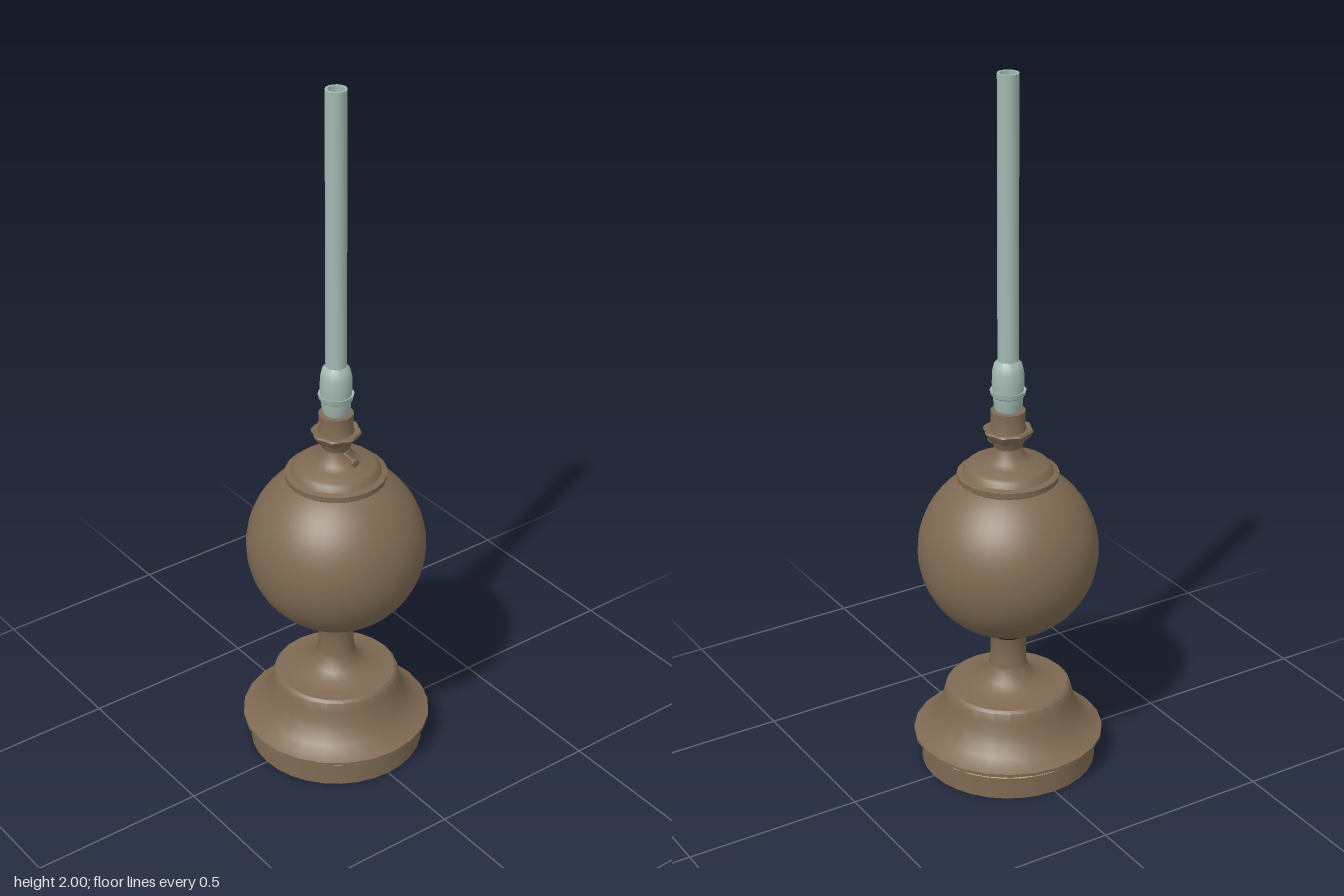
import * as THREE from 'three';
import { toCreasedNormals } from 'three/addons/utils/BufferGeometryUtils.js';

const brass = new THREE.MeshStandardMaterial({ color: 0x7f6a53 });
brass.name = 'aged brass';
const glass = new THREE.MeshStandardMaterial({ color: 0xa3b8b1 });
glass.name = 'pale glass';
const cream = new THREE.MeshStandardMaterial({ color: 0xd8c397 });
cream.name = 'cream trim';
const dark = new THREE.MeshStandardMaterial({ color: 0x2a1210 });
dark.name = 'dark wick';

export function createModel() {
  const model = new THREE.Group();
  model.name = 'oilLamp';

  const add = (name, geometry, material, x = 0, y = 0, z = 0) => {
    const mesh = new THREE.Mesh(geometry, material);
    mesh.name = name;
    mesh.position.set(x, y, z);
    model.add(mesh);
    return mesh;
  };
  // Turned part from [radius, height] pairs, listed so the surface faces outward
  const turn = (name, profile, material, sides = 32, crease = 0.6) => {
    const points = profile.map(([r, y]) => new THREE.Vector2(r, y));
    return add(name, toCreasedNormals(new THREE.LatheGeometry(points, sides), crease), material);
  };

  // Foot: plain drum, thin trim, flared flange and stepped shoulder
  turn('baseDrum', [[0, 0], [0.247, 0], [0.247, 0.067], [0, 0.067]], brass);
  turn('baseTrim', [[0.243, 0.066], [0.249, 0.066], [0.249, 0.075], [0.243, 0.078]], cream);
  turn('baseFlange', [
    [0, 0.075], [0.255, 0.075], [0.268, 0.081], [0.268, 0.09], [0.25, 0.098],
    [0.225, 0.117], [0.205, 0.142], [0.192, 0.17], [0.183, 0.2], [0.176, 0.227],
    [0.168, 0.234], [0.135, 0.238], [0.1, 0.247], [0.075, 0.262], [0.06, 0.28], [0.054, 0.3],
  ], brass, 24);
  turn('stem', [[0.054, 0.298], [0.05, 0.33], [0.05, 0.395], [0.058, 0.41], [0.085, 0.424]], brass, 20);
  turn('stemGap', [[0.05, 0.394], [0.056, 0.396], [0.06, 0.406], [0.06, 0.409]], dark, 20);

  // Round oil reservoir
  add('reservoir', new THREE.SphereGeometry(0.25, 40, 28), brass, 0, 0.655, 0);

  // Cap and neck above the reservoir
  turn('reservoirCap', [
    [0.125, 0.862], [0.139, 0.872], [0.14, 0.888], [0.125, 0.893], [0.117, 0.908],
    [0.11, 0.914], [0.075, 0.921], [0.055, 0.932], [0.043, 0.95], [0.038, 0.968], [0.045, 0.982],
  ], brass, 24);

  // Burner with a scalloped gallery rim
  turn('burner', [
    [0.038, 0.965], [0.045, 0.982], [0.052, 1.0], [0.05, 1.018], [0.047, 1.03], [0.048, 1.072], [0.03, 1.074],
  ], brass, 16);
  const gallery = turn('galleryRim', [
    [0.045, 0.985], [0.058, 0.998], [0.067, 1.014], [0.064, 1.019], [0.045, 1.016],
  ], brass, 32);
  const p = gallery.geometry.attributes.position;
  for (let i = 0; i < p.count; i++) {
    const s = 1 + 0.05 * Math.cos(8 * Math.atan2(p.getZ(i), p.getX(i)));
    p.setXYZ(i, p.getX(i) * s, p.getY(i), p.getZ(i) * s);
  }
  gallery.geometry = toCreasedNormals(gallery.geometry, 0.6);

  // Wick adjuster on the left side
  const shaft = add('wickShaft', new THREE.CylinderGeometry(0.005, 0.005, 0.05, 8), brass, 0.06, 0.957, 0);
  shaft.rotation.z = Math.PI / 2 - 0.12;
  const knob = add('wickKnob', new THREE.CylinderGeometry(0.012, 0.012, 0.007, 12), brass, 0.085, 0.954, 0);
  knob.rotation.z = Math.PI / 2 - 0.12;

  // Glass chimney: bulged lower part, shoulder and long open tube with an inner wall
  turn('chimneyBulb', [
    [0.034, 1.07], [0.039, 1.085], [0.042, 1.12], [0.044, 1.15], [0.043, 1.185],
    [0.038, 1.207], [0.028, 1.218],
  ], glass, 20);
  turn('chimneyBand', [[0.04, 1.112], [0.047, 1.118], [0.05, 1.132], [0.042, 1.13]], glass, 12);
  turn('chimneyTube', [
    [0.029, 1.21], [0.029, 2], [0.022, 2], [0.022, 1.21],
  ], glass, 16);

  // Wick seen down the chimney
  add('wick', new THREE.CylinderGeometry(0.022, 0.022, 0.15, 16), dark, 0, 1.14, 0);

  return model;
}
